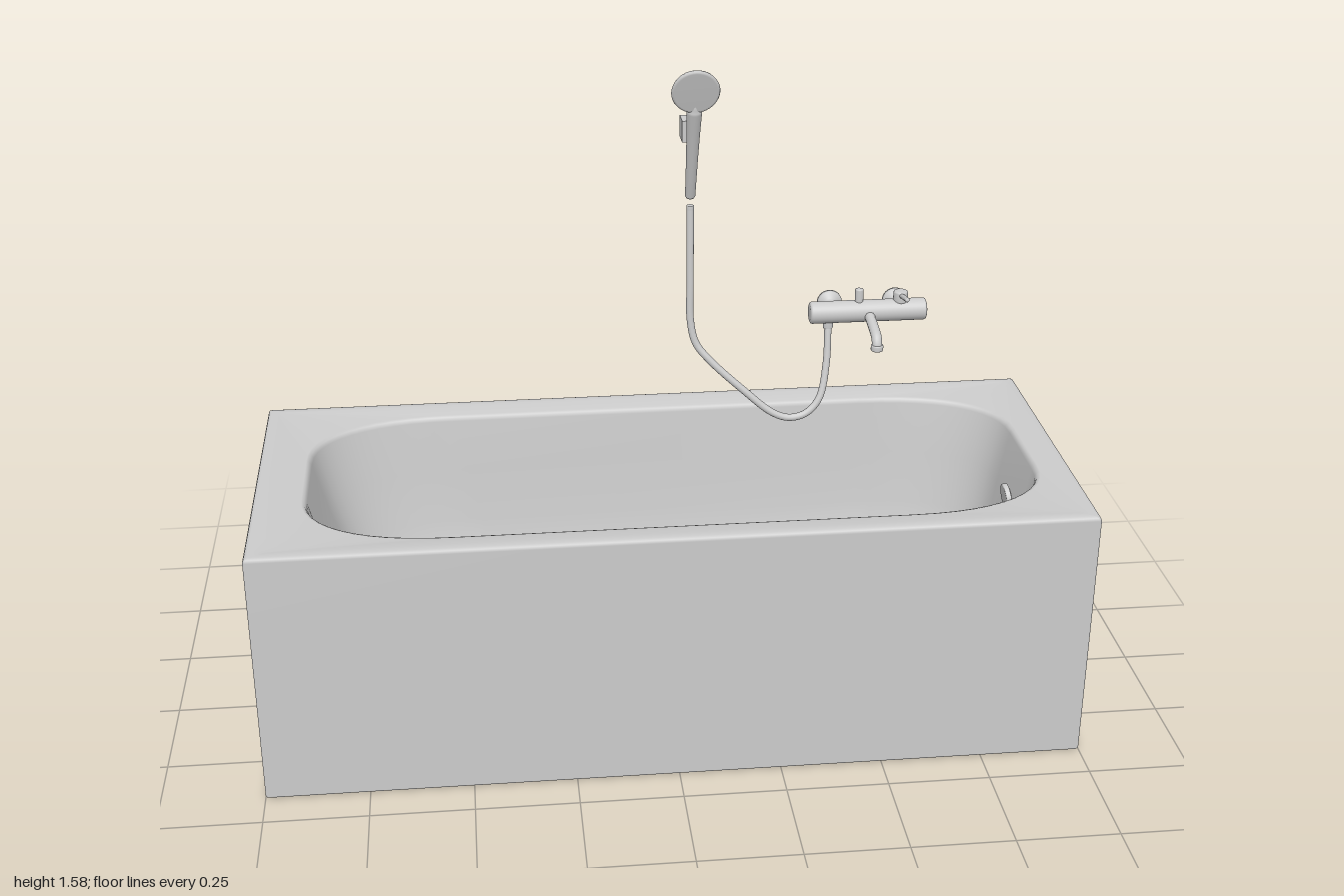
import * as THREE from 'three';

const mat = new THREE.MeshStandardMaterial({ color: 0xcccccc });
const V = (x, y, z) => new THREE.Vector3(x, y, z);

function add(parent, name, geometry, x = 0, y = 0, z = 0) {
  const m = new THREE.Mesh(geometry, mat);
  m.name = name;
  m.position.set(x, y, z);
  parent.add(m);
  return m;
}

// Closed horizontal loop: a rectangle with soft corners of size rx by rz
function loop(y, x0, x1, zHalf, rx, rz, power = 2, steps = 12) {
  const pts = [];
  const corners = [[1, 1], [-1, 1], [-1, -1], [1, -1]];
  corners.forEach(([sx, sz], c) => {
    for (let i = 0; i <= steps; i++) {
      const t = (c + i / steps) * Math.PI / 2;
      const cx = sx > 0 ? x1 - rx : x0 + rx, cz = sz * (zHalf - rz);
      pts.push(V(
        cx + sx * rx * Math.pow(Math.abs(Math.cos(t)), 2 / power), y,
        cz + sz * rz * Math.pow(Math.abs(Math.sin(t)), 2 / power)));
    }
  });
  return pts;
}

// Skin a list of loops, all with the same number of points
function skin(loops) {
  const n = loops[0].length, index = [];
  for (let r = 0; r < loops.length - 1; r++) {
    for (let i = 0; i < n; i++) {
      const a = r * n + i, b = r * n + (i + 1) % n, c = a + n, d = b + n;
      index.push(a, c, b, b, c, d);
    }
  }
  const g = new THREE.BufferGeometry().setFromPoints(loops.flat());
  g.setIndex(index);
  g.computeVertexNormals();
  return g;
}

// Turned part with profile [radius, height]; axis 'x', 'y' or 'z'
function turned(profile, axis = 'y', segments = 32) {
  const g = new THREE.LatheGeometry(profile.map(([r, h]) => new THREE.Vector2(r, h)), segments);
  if (axis === 'x') g.rotateZ(-Math.PI / 2);
  if (axis === 'z') g.rotateX(Math.PI / 2);
  return g;
}

// Solid round bar with softened ends, from height a to b
const bar = (r, a, b, e, axis) => turned([
  [0, a], [r - e, a], [r - e * 0.3, a + e * 0.3], [r, a + e],
  [r, b - e], [r - e * 0.3, b - e * 0.3], [r - e, b], [0, b]], axis);

function tube(points, r, segments) {
  return new THREE.TubeGeometry(new THREE.CatmullRomCurve3(points), segments, r, 14);
}

function createTub() {
  const outer = (y, inset, r = 0.006) => loop(y, -1 + inset, 1 - inset, 0.408 - inset, r, r);
  const basin = (y, x0, x1, z, rx, rz) => loop(y, x0, x1, z, rx, rz, 2.3);
  return skin([
    // underside and apron
    loop(0, 0, 0, 0, 0, 0), outer(0, 0.006), outer(0.002, 0.002), outer(0.006, 0),
    outer(0.645, 0), outer(0.652, 0.003), outer(0.655, 0.01),
    // rim
    outer(0.655, 0.03, 0.02),
    basin(0.648, -0.885, 0.925, 0.335, 0.36, 0.23),
    basin(0.645, -0.878, 0.918, 0.328, 0.36, 0.225),
    basin(0.635, -0.872, 0.913, 0.324, 0.36, 0.22),
    // basin walls, with the sloping backrest at -x
    basin(0.5, -0.835, 0.888, 0.311, 0.35, 0.21),
    basin(0.36, -0.785, 0.868, 0.295, 0.33, 0.2),
    basin(0.26, -0.735, 0.848, 0.277, 0.31, 0.18),
    basin(0.205, -0.685, 0.82, 0.25, 0.28, 0.16),
    basin(0.175, -0.62, 0.775, 0.21, 0.24, 0.13),
    basin(0.165, -0.53, 0.7, 0.15, 0.2, 0.1),
    loop(0.16, 0.1, 0.1, 0, 0, 0),
  ]);
}

function createMixer() {
  const g = new THREE.Group();
  g.name = 'mixerTap';
  g.position.set(0, 0.897, -0.337);
  add(g, 'mixerBody', bar(0.029, 0.42, 0.728, 0.006, 'x'));
  // wall connections
  for (const x of [0.485, 0.66]) {
    add(g, 'wallConnection', turned([
      [0, -0.073], [0.033, -0.073], [0.033, -0.066], [0.03, -0.061],
      [0.016, -0.055], [0.014, -0.045], [0.014, 0]], 'z'), x);
  }
  // spout
  add(g, 'spout', tube([V(0.575, -0.005, 0.015), V(0.575, -0.012, 0.06), V(0.575, -0.02, 0.1),
    V(0.575, -0.027, 0.12), V(0.575, -0.04, 0.129), V(0.575, -0.055, 0.131)], 0.0135, 32));
  add(g, 'spoutTip', bar(0.016, -0.058, -0.042, 0.003), 0.575, 0, 0.131);
  // diverter and lever control on top
  add(g, 'diverterKnob', bar(0.011, 0.02, 0.062, 0.003), 0.55);
  add(g, 'controlKnob', bar(0.019, 0.02, 0.053, 0.005), 0.66);
  const lever = add(g, 'controlLever', bar(0.0065, 0, 0.082, 0.003, 'z'), 0.66, 0.04, 0);
  lever.rotation.x = -0.22;
  // hose outlet
  add(g, 'hoseOutlet', bar(0.013, -0.045, -0.02, 0.003), 0.47);
  return g;
}

function createHandset() {
  const g = new THREE.Group();
  g.name = 'handShower';
  g.position.set(0.105, 1.224, -0.345);
  g.rotation.x = 0.31;
  add(g, 'handle', turned([
    [0, 0], [0.011, 0], [0.013, 0.004], [0.015, 0.12], [0.017, 0.2], [0.019, 0.255],
    [0.019, 0.262], [0.014, 0.268], [0.012, 0.29], [0, 0.295]]));
  add(g, 'showerHead', turned([
    [0, -0.015], [0.025, -0.014], [0.048, -0.007], [0.058, 0.002],
    [0.06, 0.008], [0.058, 0.012], [0.053, 0.013], [0, 0.013]], 'z', 40), 0, 0.32, 0);
  return g;
}

export function createModel() {
  const model = new THREE.Group();
  model.name = 'bathtub';

  add(model, 'tub', createTub());

  // overflow cover on the inner end wall
  const overflow = add(model, 'overflowCover', bar(0.035, -0.008, 0.006, 0.003, 'x'), 0.887, 0.505, 0);
  overflow.rotation.z = 0.15;

  model.add(createMixer());

  // hose hanging from the mixer, up to the hand shower
  add(model, 'showerHose', tube([
    V(0.47, 0.86, -0.335), V(0.465, 0.76, -0.315), V(0.445, 0.67, -0.294), V(0.41, 0.632, -0.287),
    V(0.365, 0.622, -0.285), V(0.32, 0.638, -0.287), V(0.24, 0.705, -0.297), V(0.155, 0.785, -0.312),
    V(0.12, 0.83, -0.322), V(0.106, 0.89, -0.328), V(0.105, 1.0, -0.333), V(0.105, 1.2, -0.341),
  ], 0.0095, 110));
  add(model, 'hoseEnd', bar(0.0098, 1.19, 1.203, 0.002), 0.105, 0, -0.341);

  model.add(createHandset());
  add(model, 'wallHolder', new THREE.BoxGeometry(0.04, 0.055, 0.055), 0.105, 1.392, -0.381);

  return model;
}
